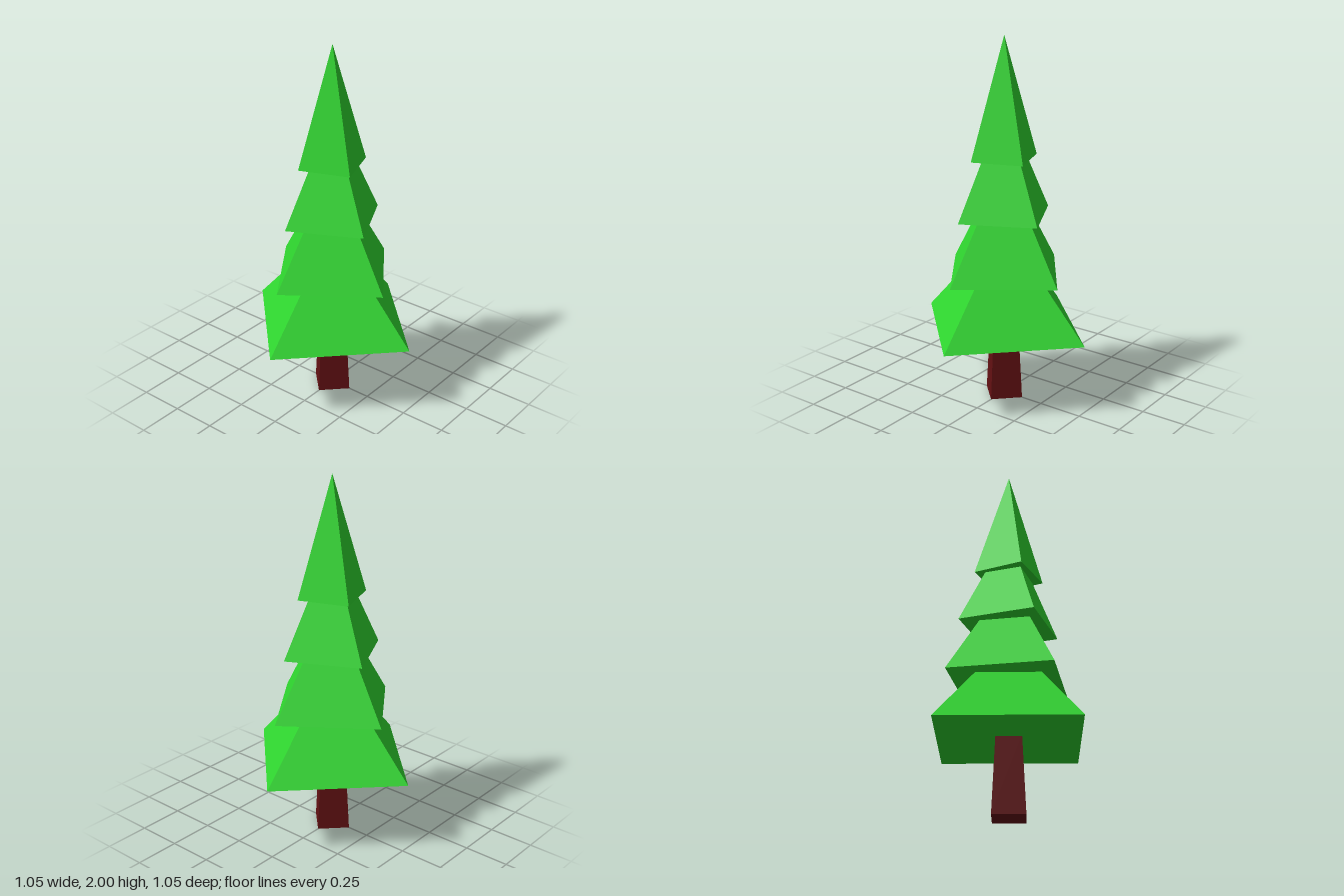
import * as THREE from 'three';

export function createModel() {
  const tree = new THREE.Group();
  tree.name = 'pineTree';

  const leafGreen = new THREE.MeshStandardMaterial({ color: 0x2fd62f, flatShading: true });
  leafGreen.name = 'leaf green';
  const barkBrown = new THREE.MeshStandardMaterial({ color: 0x641113, flatShading: true });
  barkBrown.name = 'bark brown';

  // Square tapered trunk, corners on the x and z axes
  const trunk = new THREE.Mesh(new THREE.CylinderGeometry(0.096, 0.123, 0.42, 4), barkBrown);
  trunk.name = 'trunk';
  trunk.position.y = 0.21;
  tree.add(trunk);

  // Stacked four-sided foliage tiers, each twisted a little further
  const tiers = [
    { radius: 0.525, base: 0.41, apex: 0.985, twist: 0 },
    { radius: 0.395, base: 0.72, apex: 1.345, twist: 9.3 },
    { radius: 0.295, base: 1.043, apex: 1.65, twist: 18.4 },
    { radius: 0.198, base: 1.355, apex: 2, twist: 24.8 },
  ];
  tiers.forEach(({ radius, base, apex, twist }, i) => {
    const height = apex - base;
    const tier = new THREE.Mesh(new THREE.ConeGeometry(radius, height, 4), leafGreen);
    tier.name = `foliageTier${i + 1}`;
    tier.position.y = base + height / 2;
    tier.rotation.y = -THREE.MathUtils.degToRad(twist);
    tree.add(tier);
  });

  return tree;
}
